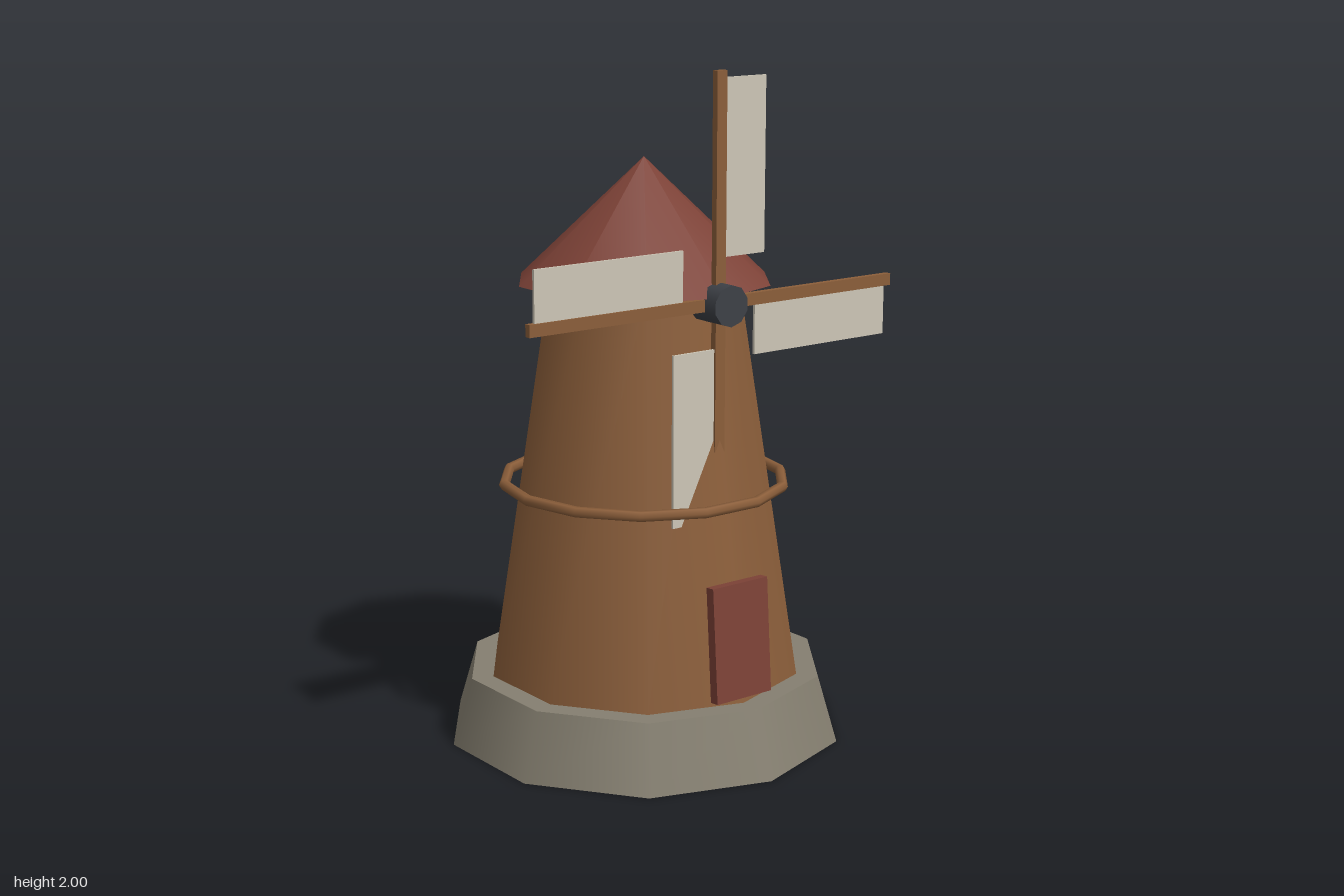
import * as THREE from 'three';

const paint = (color) => new THREE.MeshStandardMaterial({ color });

export function createModel() {
  const mill = new THREE.Group();
  mill.name = 'windmill';

  const stone = paint(0x857f70);
  const wood = paint(0x8b5e3a);
  const red = paint(0x7d4237);
  const canvas = paint(0xcdc6b6);
  const iron = paint(0x3d4046);

  const add = (parent, name, geometry, material, x = 0, y = 0, z = 0) => {
    const mesh = new THREE.Mesh(geometry, material);
    mesh.name = name;
    mesh.position.set(x, y, z);
    parent.add(mesh);
    return mesh;
  };

  // Ten-sided body: stone base, tapered tower, conical roof
  add(mill, 'base', new THREE.CylinderGeometry(0.54, 0.6, 0.2, 10), stone, 0, 0.1);
  add(mill, 'tower', new THREE.CylinderGeometry(0.288, 0.474, 1.18, 10), wood, 0, 0.79);
  add(mill, 'roof', new THREE.ConeGeometry(0.38, 0.36, 10), red, 0, 1.55);

  // Rail around the tower
  const rail = add(mill, 'rail', new THREE.TorusGeometry(0.42, 0.016, 6, 14), wood, 0, 0.77);
  rail.rotation.x = Math.PI / 2;

  // Door leaning with the wall
  const door = add(mill, 'door', new THREE.BoxGeometry(0.2, 0.34, 0.03), red, 0, 0.385, 0.45);
  door.rotation.x = -0.07;

  // Rotor: hub and four arms, each with a sail on one side
  const rotor = new THREE.Group();
  rotor.name = 'rotor';
  rotor.position.set(0, 1.35, 0.345);
  mill.add(rotor);

  const hub = add(rotor, 'hub', new THREE.CylinderGeometry(0.06, 0.06, 0.115, 10), iron);
  hub.rotation.x = Math.PI / 2;

  for (let i = 0; i < 4; i++) {
    const arm = new THREE.Group();
    arm.name = `arm${i + 1}`;
    arm.rotation.z = (i * Math.PI) / 2;
    add(arm, 'spar', new THREE.BoxGeometry(0.035, 0.65, 0.02), wood, 0, 0.325);
    add(arm, 'sail', new THREE.BoxGeometry(0.145, 0.5, 0.008), canvas, 0.09, 0.38);
    rotor.add(arm);
  }

  return mill;
}
